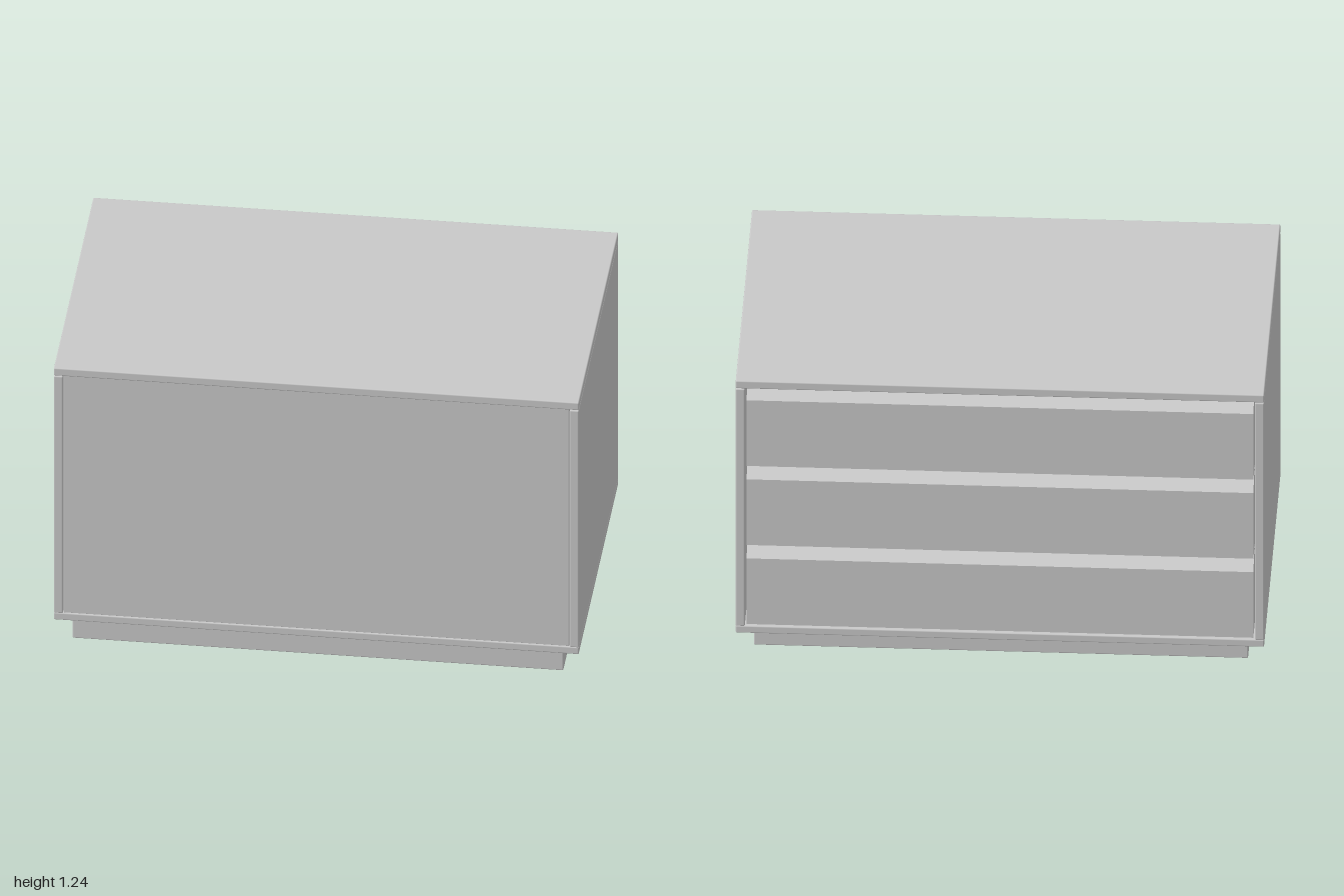
import * as THREE from 'three';
import { RoundedBoxGeometry } from 'three/addons/geometries/RoundedBoxGeometry.js';

const grey = new THREE.MeshStandardMaterial({ color: 0xc8c8c8 });
grey.name = 'lightGrey';

export function createModel() {
  const model = new THREE.Group();
  model.name = 'drawerChest';

  // Board given by its extents, with softly eased edges
  function board(name, x0, x1, y0, y1, z0, z1, radius = 0.005) {
    const geo = new RoundedBoxGeometry(x1 - x0, y1 - y0, z1 - z0, 2, radius);
    const mesh = new THREE.Mesh(geo, grey);
    mesh.name = name;
    mesh.position.set((x0 + x1) / 2, (y0 + y1) / 2, (z0 + z1) / 2);
    model.add(mesh);
    return mesh;
  }

  const D = 0.607; // half depth
  const T = 0.035; // board thickness

  // Carcass
  board('plinth', -0.935, 0.935, 0, 0.112, -0.515, 0.555);
  board('bottomBoard', -1, 1, 0.11, 0.142, -D, D);
  board('topBoard', -1, 1, 1.202, 1.236, -D, D);
  for (const s of [-1, 1]) {
    const inner = s * (1 - T);
    board(s < 0 ? 'rightSide' : 'leftSide', Math.min(s, inner), Math.max(s, inner), 0.14, 1.2, -D, D);
  }
  board('frontPanel', -0.963, 0.963, 0.14, 1.203, D - 0.04, D - 0.006, 0.003);

  // Drawer fronts on the -z side, each with a sloped finger-pull along its top
  const pitch = (1.202 - 0.142) / 3;
  const width = 1.918;
  for (let i = 0; i < 3; i++) {
    const faceTop = pitch - 0.056;
    const profile = new THREE.Shape([
      [0, 0.004], [0, faceTop], [0.072, faceTop + 0.042], [0.12, faceTop + 0.042], [0.12, 0.004],
    ].map(([z, y]) => new THREE.Vector2(-z, y)));
    const geo = new THREE.ExtrudeGeometry(profile, { depth: width, bevelEnabled: false });
    geo.translate(0, 0, -width / 2);
    geo.rotateY(Math.PI / 2); // profile depth now runs into the chest along +z
    const drawer = new THREE.Mesh(geo, grey);
    drawer.name = 'drawerFront' + (i + 1);
    drawer.position.set(0, 0.142 + i * pitch, -D + 0.008);
    model.add(drawer);
  }

  // Inner body behind the drawer fronts
  board('drawerBody', -0.964, 0.964, 0.142, 1.202, -D + 0.125, D - 0.05, 0.002);

  return model;
}
